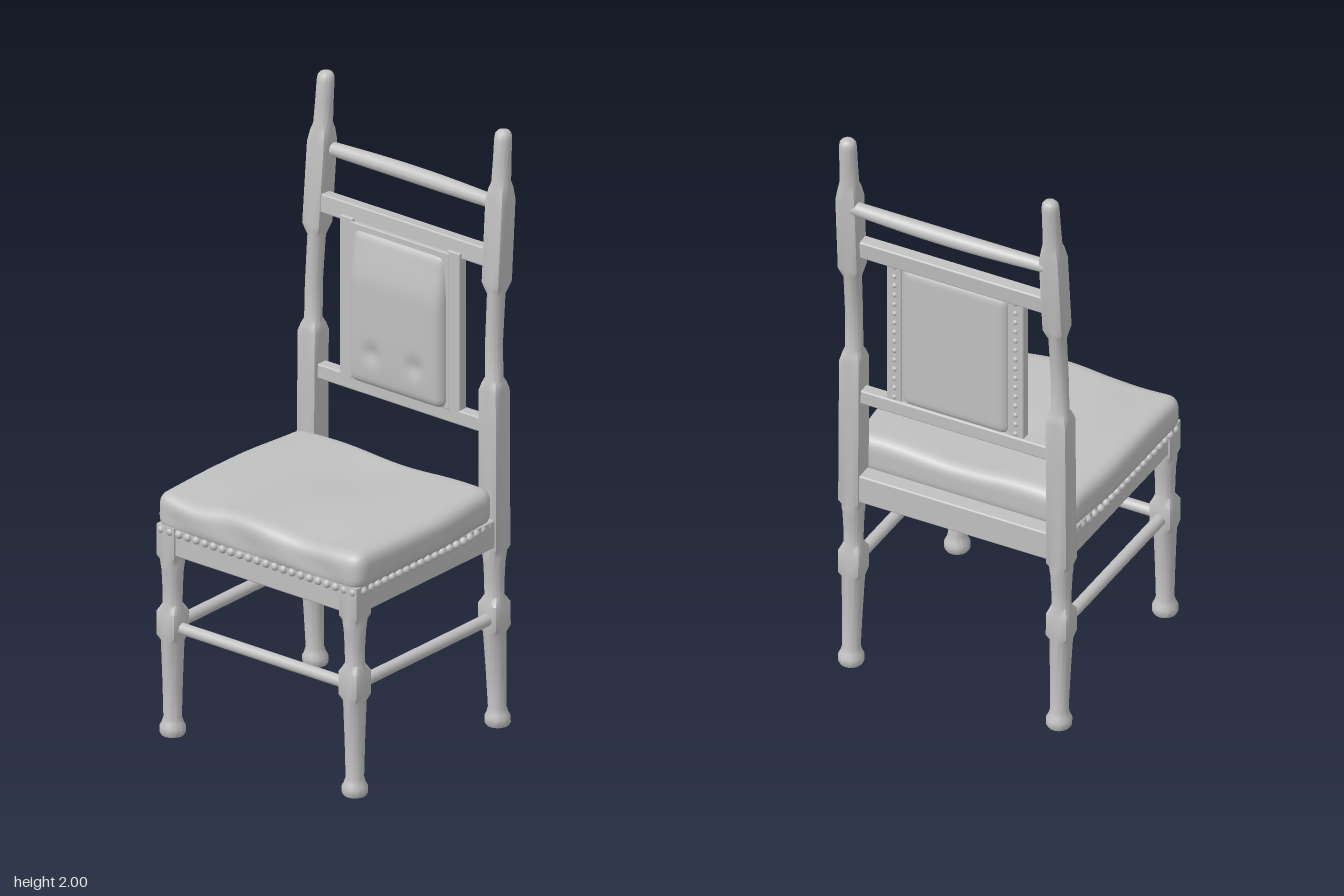
import * as THREE from 'three';
import { mergeVertices, mergeGeometries, toCreasedNormals } from 'three/addons/utils/BufferGeometryUtils.js';
import { RoundedBoxGeometry } from 'three/addons/geometries/RoundedBoxGeometry.js';

const grey = new THREE.MeshStandardMaterial({ color: 0xc0c0c0 });
grey.name = 'plain grey';

// Turned post: each section is [y, x, z, half width, squareness 0..1]
function turnedPost(sections) {
  const n = 32, pos = [], index = [];
  for (const [y, cx, cz, w, sq] of sections) {
    for (let i = 0; i < n; i++) {
      const a = (i / n) * Math.PI * 2, c = Math.cos(a), s = Math.sin(a);
      const box = Math.min(1 / Math.max(Math.abs(c), Math.abs(s)), 1.35);
      const r = w * (1 + (box - 1) * sq);
      pos.push(cx + c * r, y, cz + s * r);
    }
  }
  const last = sections.length - 1;
  for (let j = 0; j < last; j++) {
    for (let i = 0; i < n; i++) {
      const a = j * n + i, b = j * n + (i + 1) % n;
      index.push(a, a + n, b, b, a + n, b + n);
    }
  }
  // End caps
  for (let i = 1; i < n - 1; i++) {
    index.push(0, i, i + 1, last * n, last * n + i + 1, last * n + i);
  }
  const g = new THREE.BufferGeometry();
  g.setAttribute('position', new THREE.Float32BufferAttribute(pos, 3));
  g.setIndex(index);
  return toCreasedNormals(g, 0.6);
}

// Soft rounded block whose vertices are then moved by a rule
function pillow(w, h, d, r, segs, rule) {
  let g = new THREE.BoxGeometry(w, h, d, ...segs);
  g.deleteAttribute('normal');
  g.deleteAttribute('uv');
  g = mergeVertices(g);
  const p = g.attributes.position, v = new THREE.Vector3(), core = new THREE.Vector3();
  const half = new THREE.Vector3(w / 2 - r, h / 2 - r, d / 2 - r);
  for (let i = 0; i < p.count; i++) {
    v.fromBufferAttribute(p, i);
    core.copy(v).clamp(half.clone().negate(), half);
    v.sub(core);
    if (v.length() > 0) v.setLength(r);
    v.add(core);
    rule(v);
    p.setXYZ(i, v.x, v.y, v.z);
  }
  g.computeVertexNormals();
  return g;
}

const bump = (x, y, cx, cy, r) => Math.exp(-((x - cx) ** 2 + (y - cy) ** 2) / (r * r));

export function createModel() {
  const chair = new THREE.Group();
  chair.name = 'chair';
  const add = (name, geometry, x = 0, y = 0, z = 0) => {
    const m = new THREE.Mesh(geometry, grey);
    m.name = name;
    m.position.set(x, y, z);
    chair.add(m);
    return m;
  };
  const block = (name, x0, x1, y0, y1, z0, z1, r = 0.006) =>
    add(name, new RoundedBoxGeometry(x1 - x0, y1 - y0, z1 - z0, 2, r),
      (x0 + x1) / 2, (y0 + y1) / 2, (z0 + z1) / 2);

  // Lower leg outline shared by all legs: [y, half width, squareness]
  const leg = [
    [0, 0.036, 0], [0.008, 0.041, 0], [0.028, 0.041, 0], [0.042, 0.034, 0], [0.06, 0.029, 0],
    [0.18, 0.032, 0], [0.32, 0.037, 0], [0.34, 0.039, 0.85], [0.42, 0.039, 0.85],
    [0.445, 0.031, 0], [0.5, 0.032, 0], [0.56, 0.035, 0], [0.58, 0.038, 0], [0.595, 0.036, 0.3],
    [0.61, 0.037, 1],
  ];
  // Rear post outline above the seat rail
  const rear = [
    [1.0, 0.036, 1], [1.14, 0.036, 1], [1.165, 0.034, 0.4], [1.18, 0.029, 0], [1.3, 0.028, 0],
    [1.46, 0.029, 0], [1.48, 0.033, 0.5], [1.5, 0.035, 1], [1.77, 0.035, 1], [1.81, 0.033, 0.5],
    [1.83, 0.031, 0], [1.9, 0.029, 0], [1.97, 0.028, 0], [1.987, 0.026, 0], [1.996, 0.019, 0], [2, 0.009, 0],
  ];
  const rearZ = (y) => y < 0.4 ? -0.335 + 0.045 * y
    : y < 1.3 ? -0.318 - 0.004 * (y - 0.4) : -0.322 - 0.076 * (y - 1.3);
  const rearX = (y) => y < 0.8 ? 0.366 : 0.366 - 0.008 * (y - 0.8);

  for (const side of [-1, 1]) {
    const tag = side > 0 ? 'left' : 'right';
    add(tag + 'FrontLeg', turnedPost([...leg, [0.715, 0.037, 1]].map(([y, w, s]) =>
      [y, side * 0.366, 0.364, w, s])));
    add(tag + 'RearPost', turnedPost([...leg, ...rear].map(([y, w, s]) =>
      [y, side * rearX(y), rearZ(y), w, s])));

    // Seat rail and stretcher on each side
    block(tag + 'SeatRail', side * 0.363 - 0.032, side * 0.363 + 0.032, 0.62, 0.715, -0.3, 0.36);
    const bar = new THREE.CylinderGeometry(0.02, 0.02, 0.68, 20);
    bar.rotateX(Math.PI / 2);
    add(tag + 'Stretcher', bar, side * 0.366, 0.37, 0.025);

    // Upright beside the back panel
    block(tag + 'BackStile', side * 0.215 - 0.026, side * 0.215 + 0.026, 1.02, 1.57, -0.336, -0.3, 0.005);
  }

  // Front and rear seat rails, front stretcher
  block('frontSeatRail', -0.35, 0.35, 0.62, 0.715, 0.332, 0.395);
  block('rearSeatRail', -0.35, 0.35, 0.62, 0.72, -0.35, -0.29);
  const frontBar = new THREE.CylinderGeometry(0.019, 0.019, 0.68, 20);
  frontBar.rotateZ(Math.PI / 2);
  add('frontStretcher', frontBar, 0, 0.367, 0.364);

  // Underside board, set up inside the rails
  block('seatBoard', -0.34, 0.34, 0.65, 0.71, -0.3, 0.34, 0.004);

  // Stuffed seat with a gently uneven top
  add('seatCushion', pillow(0.826, 0.13, 0.69, 0.042, [48, 10, 44], (v) => {
    const top = THREE.MathUtils.smoothstep(v.y, -0.03, 0.06);
    const skirt = THREE.MathUtils.smoothstep(v.y, -0.06, -0.01);
    v.x *= 1 - 0.045 * THREE.MathUtils.smoothstep(-v.z, 0.05, 0.345);
    v.x *= 0.975 + 0.025 * skirt;
    v.y += top * (0.004 - 0.012 * bump(v.x, v.z, 0, -0.16, 0.17) - 0.009 * bump(v.x, v.z, 0.2, 0.3, 0.09)
      - 0.009 * bump(v.x, v.z, -0.27, 0.31, 0.09) + 0.004 * Math.sin(v.x * 13 + v.z * 7));
    if (v.z > 0.25) v.z += skirt * 0.004 * Math.sin(v.x * 21 + v.y * 25);
  }), 0, 0.753, 0.055);

  // Domed nails along the seat edge and behind the back panel
  const nails = [];
  const nail = (x, y, z, r) => {
    const g = new THREE.SphereGeometry(r, 10, 8);
    g.translate(x, y, z);
    nails.push(g);
  };
  for (let i = 0; i <= 22; i++) nail(-0.385 + i * 0.035, 0.7, 0.394, 0.014);
  for (const s of [-1, 1]) {
    for (let i = 0; i <= 18; i++) nail(s * (0.4 - (i < 4 ? 0.004 * (4 - i) : 0)), 0.7, -0.265 + i * 0.035, 0.014);
    for (let i = 0; i <= 14; i++) nail(s * 0.213, 1.05 + i * 0.035, -0.334, 0.009);
  }
  for (let i = 0; i <= 11; i++) nail(-0.1925 + i * 0.035, 1.56, -0.345, 0.008);
  add('upholsteryNails', mergeGeometries(nails));

  // Flat rails of the back frame
  block('lowerBackRail', -0.34, 0.34, 0.988, 1.038, -0.342, -0.3);
  const upper = block('upperBackRail', -0.335, 0.335, 1.547, 1.61, -0.355, -0.312);
  upper.rotation.x = -0.076;

  // Padded back panel with two shallow dimples
  block('backPanel', -0.2, 0.2, 1.03, 1.56, -0.33, -0.298, 0.004);
  add('backCushion', pillow(0.378, 0.52, 0.07, 0.03, [36, 44, 8], (v) => {
    if (v.z <= 0) return;
    const edge = (1 - (v.x / 0.189) ** 4) * (1 - Math.abs(v.y / 0.26) ** 4);
    const lean = THREE.MathUtils.smoothstep(v.y, 0.08, 0.26);
    v.z += 0.011 * Math.max(edge, 0) - 0.02 * lean
      - 0.012 * (bump(v.x, v.y, 0.085, -0.14, 0.03) + bump(v.x, v.y, -0.085, -0.14, 0.03));
  }), 0, 1.29, -0.308);

  // Turned crest bar, thicker and slightly bowed in the middle
  const crest = new THREE.CylinderGeometry(0.024, 0.024, 0.68, 24, 24);
  crest.rotateZ(Math.PI / 2);
  const p = crest.attributes.position;
  for (let i = 0; i < p.count; i++) {
    const k = Math.cos((p.getX(i) / 0.34) * Math.PI / 2);
    p.setXYZ(i, p.getX(i), p.getY(i) * (0.92 + 0.2 * k), p.getZ(i) * (0.92 + 0.2 * k) - 0.008 * k);
  }
  crest.computeVertexNormals();
  add('crestBar', crest, 0, 1.745, -0.371);

  return chair;
}
